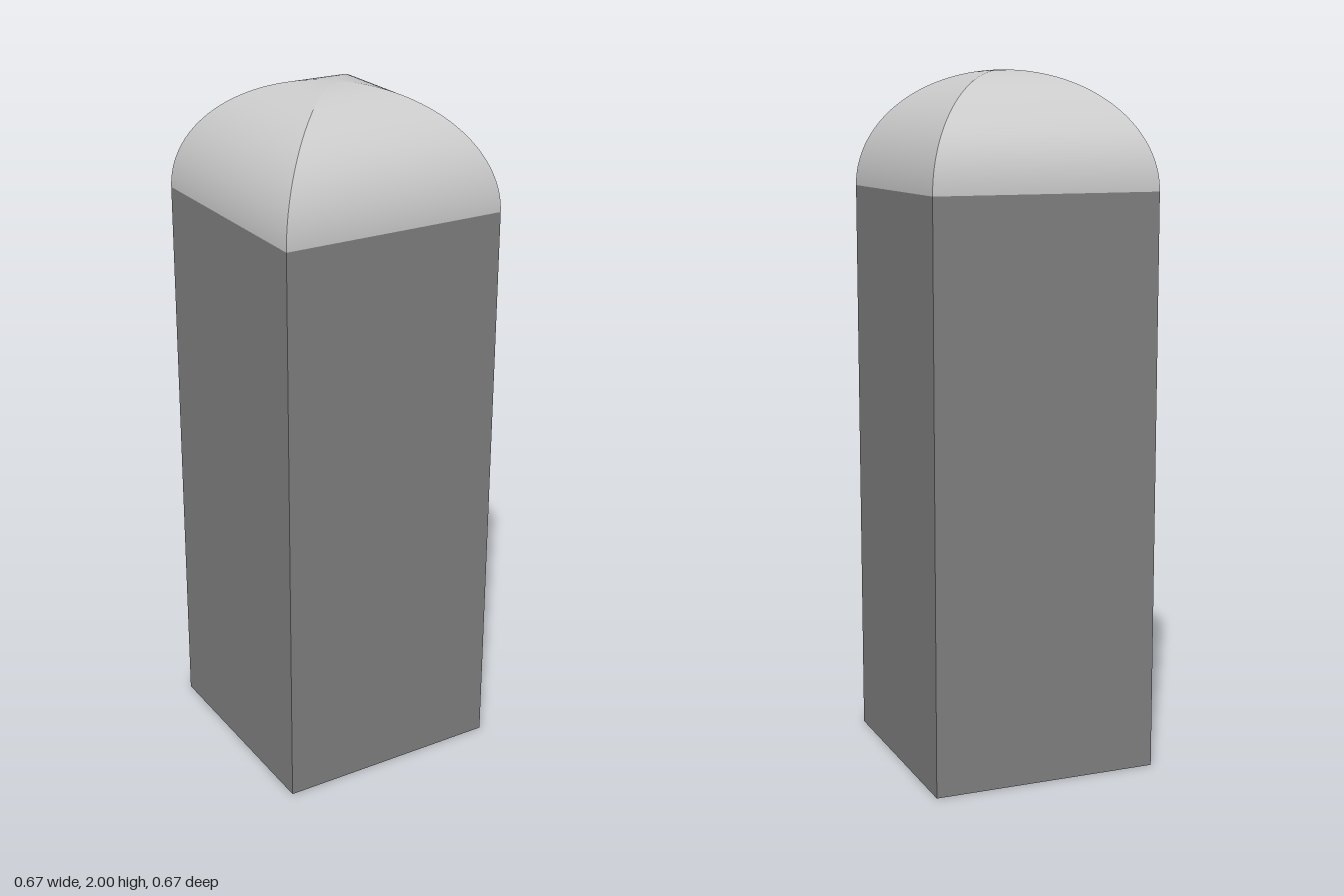
import * as THREE from 'three';

const HALF = 0.333;        // half the width of the square plan, also the vault radius
const SPRING = 2 - HALF;   // height where the vault begins
const STEPS = 48;

// One curved, triangular quarter of the cloister vault, facing +z
function vaultPanel() {
  const position = [], normal = [], index = [];
  for (let i = 0; i <= STEPS; i++) {
    const a = (i / STEPS) * Math.PI / 2;
    const c = Math.cos(a), s = Math.sin(a);
    const w = HALF * c, y = HALF * s;
    position.push(-w, y, w, w, y, w);
    normal.push(0, s, c, 0, s, c);
    if (i === STEPS) break;
    const k = 2 * i;
    index.push(k, k + 1, k + 2);
    if (i < STEPS - 1) index.push(k + 1, k + 3, k + 2);
  }
  const g = new THREE.BufferGeometry();
  g.setAttribute('position', new THREE.Float32BufferAttribute(position, 3));
  g.setAttribute('normal', new THREE.Float32BufferAttribute(normal, 3));
  g.setIndex(index);
  return g;
}

export function createModel() {
  const model = new THREE.Group();
  model.name = 'domedPillar';

  // Square shaft
  const shaft = new THREE.Mesh(
    new THREE.BoxGeometry(2 * HALF, SPRING, 2 * HALF),
    new THREE.MeshStandardMaterial({ color: 0x808080 })
  );
  shaft.name = 'shaft';
  shaft.position.y = SPRING / 2;
  model.add(shaft);

  // Domed cap: four panels meeting along sharp diagonal ridges
  const cap = new THREE.Group();
  cap.name = 'domedCap';
  cap.position.y = SPRING;
  const panel = vaultPanel();
  const capMaterial = new THREE.MeshStandardMaterial({ color: 0xcccccc });
  ['front', 'left', 'back', 'right'].forEach((side, i) => {
    const mesh = new THREE.Mesh(panel, capMaterial);
    mesh.name = side + 'CapPanel';
    mesh.rotation.y = i * Math.PI / 2;
    cap.add(mesh);
  });
  model.add(cap);

  return model;
}
